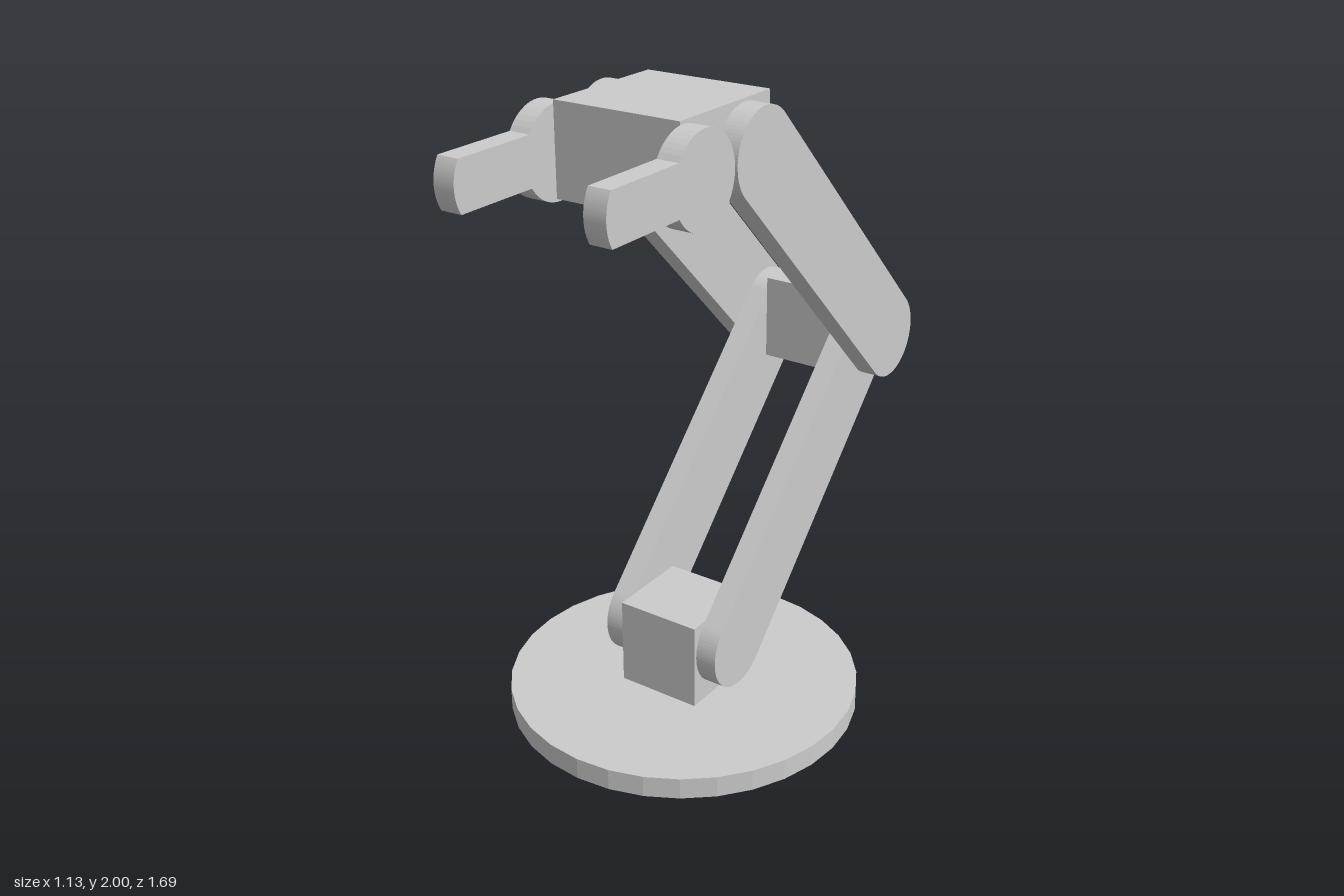
import * as THREE from 'three';

const R = 0.14; // joint radius
const T = 0.07; // plate thickness
const material = new THREE.MeshStandardMaterial({ color: 0xcccccc, flatShading: true });

function addMesh(parent, name, geometry) {
  const mesh = new THREE.Mesh(geometry, material);
  mesh.name = name;
  parent.add(mesh);
  return mesh;
}

function addBlock(parent, name, w, h, d, y, z) {
  addMesh(parent, name, new THREE.BoxGeometry(w, h, d)).position.set(0, y, z);
}

// Extrudes a (z, y) profile into a plate starting at innerX, on both sides
function addPlatePair(parent, name, shape, innerX) {
  for (const [side, x] of [['left', innerX + T], ['right', -innerX]]) {
    const geometry = new THREE.ExtrudeGeometry(shape, { depth: T, bevelEnabled: false, curveSegments: 20 });
    geometry.rotateY(-Math.PI / 2);
    geometry.translate(x, 0, 0);
    addMesh(parent, side + name, geometry);
  }
}

// Bar with round ends, running between two (z, y) joints
function linkShape(z0, y0, z1, y1) {
  const a = Math.atan2(y1 - y0, z1 - z0);
  const shape = new THREE.Shape();
  shape.absarc(z0, y0, R, a + Math.PI / 2, a + Math.PI * 1.5, false);
  shape.absarc(z1, y1, R, a - Math.PI / 2, a + Math.PI / 2, false);
  shape.closePath();
  return shape;
}

// Round joint with a narrower finger that ends in a shallow arc
function fingerShape(z, y) {
  const a = Math.asin(0.075 / R);
  const shape = new THREE.Shape();
  shape.absarc(z, y, R, a, Math.PI * 2 - a, false);
  shape.absarc(z + 0.283, y, R, -a, a, false);
  shape.closePath();
  return shape;
}

export function createModel() {
  const model = new THREE.Group();
  model.name = 'robotArm';

  // Base
  addMesh(model, 'basePlate', new THREE.CylinderGeometry(0.565, 0.565, 0.07, 32)).position.set(0, 0.035, 0.138);
  addBlock(model, 'baseBlock', 0.28, 0.285, 0.28, 0.2125, 0.14);

  // Lower arm and elbow
  addPlatePair(model, 'LowerArm', linkShape(0.13, 0.245, -0.67, 1.05), 0.14);
  addBlock(model, 'elbowBlock', 0.28, 0.28, 0.28, 1.06, -0.703);

  // Upper arm and wrist
  addPlatePair(model, 'UpperArm', linkShape(-0.67, 1.05, 0.13, 1.85), 0.21);
  addBlock(model, 'wristBlock', 0.42, 0.28, 0.437, 1.86, 0.2185);

  // Gripper
  addPlatePair(model, 'GripperFinger', fingerShape(0.422, 1.85), 0.21);

  return model;
}
